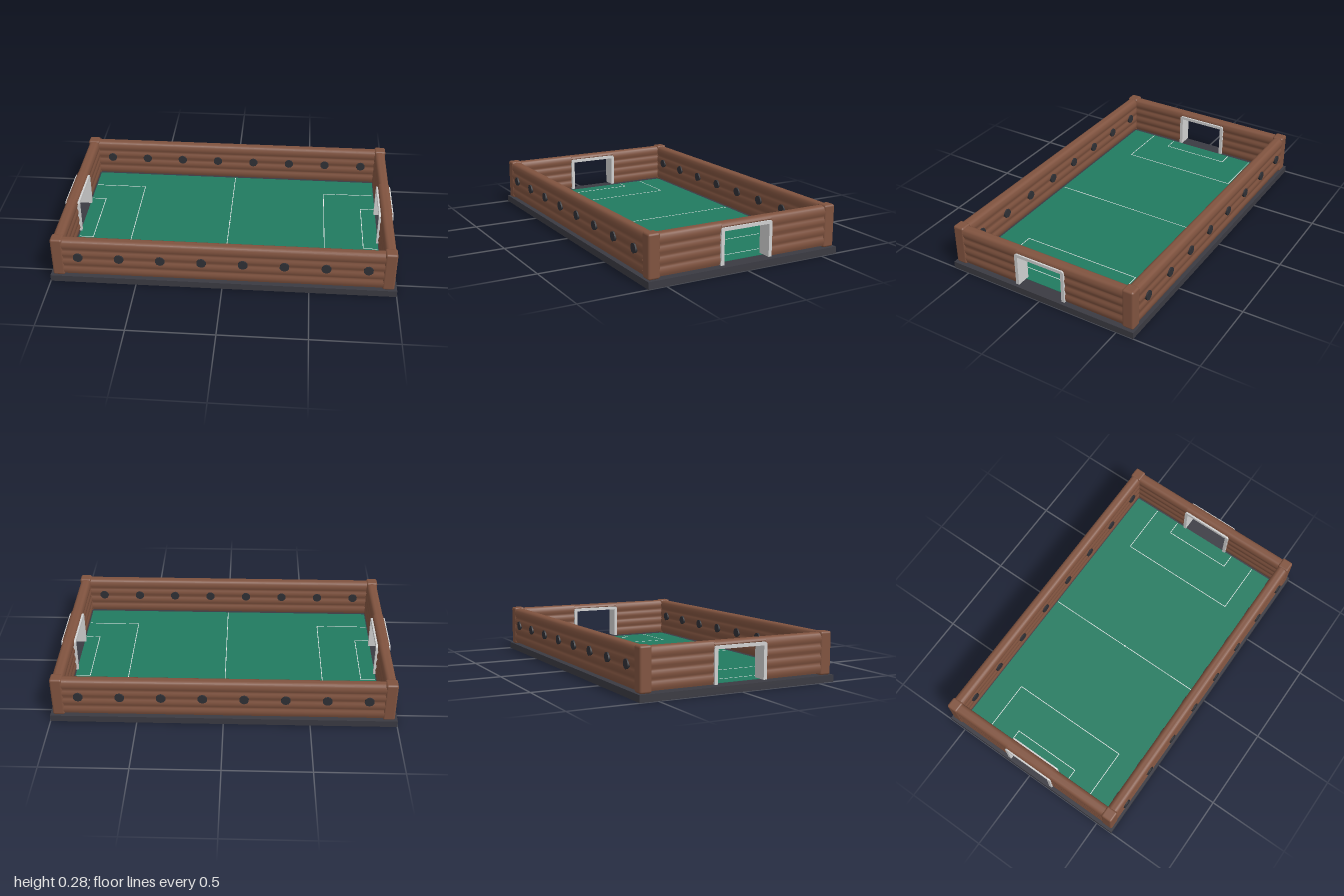
import * as THREE from 'three';
import { toCreasedNormals } from 'three/addons/utils/BufferGeometryUtils.js';
import { RoundedBoxGeometry } from 'three/addons/geometries/RoundedBoxGeometry.js';

const mat = (name, color) => {
  const m = new THREE.MeshStandardMaterial({ color });
  m.name = name;
  return m;
};

export function createModel() {
  const wood = mat('brown wood', 0x80533f);
  const slate = mat('dark slate', 0x3a3a42);
  const green = mat('pitch green', 0x217a60);
  const white = mat('line white', 0xf0f0f0);
  const metal = mat('goal grey', 0xd0d0d0);
  const rubber = mat('knob charcoal', 0x2f3035);

  const model = new THREE.Group();
  model.name = 'tableFootballPitch';
  const add = (name, geometry, material, x = 0, y = 0, z = 0) => {
    const mesh = new THREE.Mesh(geometry, material);
    mesh.name = name;
    mesh.position.set(x, y, z);
    model.add(mesh);
    return mesh;
  };

  // Base slab and playing surface
  add('base', new THREE.BoxGeometry(2, 0.04, 1.21), slate, 0, 0.02, 0);
  add('pitch', new THREE.BoxGeometry(1.83, 0.002, 1.06), green, 0, 0.041, 0);

  // Pitch markings
  const W = 0.004;
  const line = (x, z, lx, lz) =>
    add('pitchLine', new THREE.BoxGeometry(lx, 0.001, lz), white, x, 0.0425, z);
  line(0, 0, W, 1.05);
  add('centreSpot', new THREE.CylinderGeometry(0.005, 0.005, 0.001, 12), white, 0, 0.0428, 0);
  for (const s of [-1, 1]) {
    for (const [x, z] of [[0.59, 0.372], [0.825, 0.212]]) {
      line(s * x, 0, W, z * 2);
      for (const t of [-1, 1]) line(s * (x + 0.91) / 2, t * z, 0.91 - x, W);
    }
  }

  // Wall section with gentle log-like bulges and a rounded top, extruded along its length
  const wall = (length, bottom, top, bulges) => {
    const side = [];
    const steps = bulges * 6;
    for (let i = 0; i <= steps; i++) {
      const t = i / steps;
      side.push(new THREE.Vector2(
        0.027 + 0.007 * Math.abs(Math.sin(Math.PI * bulges * t)),
        bottom + (top - 0.008 - bottom) * t));
    }
    side.push(new THREE.Vector2(0.018, top - 0.002), new THREE.Vector2(0.008, top));
    const mirrored = side.map(p => new THREE.Vector2(-p.x, p.y)).reverse();
    const shape = new THREE.Shape([...side, ...mirrored]);
    const g = new THREE.ExtrudeGeometry(shape, { depth: length, bevelEnabled: false });
    g.translate(0, 0, -length / 2);
    return toCreasedNormals(g, 0.75);
  };

  // Long walls with a row of knobs running through each
  const longWall = wall(1.84, 0.05, 0.28, 4).rotateY(Math.PI / 2);
  const knob = new THREE.CylinderGeometry(0.028, 0.028, 0.084, 10).rotateX(Math.PI / 2);
  for (const s of [-1, 1]) {
    add('longWall', longWall, wood, 0, 0, s * 0.56);
    for (let i = 0; i < 8; i++) add('knob', knob, rubber, -0.828 + i * 0.2366, 0.172, s * 0.56);
  }

  // Goal frame: an arch with rounded outer corners
  const arch = new THREE.Shape();
  arch.moveTo(-0.163, 0.05);
  arch.lineTo(-0.163, 0.24);
  arch.quadraticCurveTo(-0.163, 0.256, -0.147, 0.256);
  arch.lineTo(0.147, 0.256);
  arch.quadraticCurveTo(0.163, 0.256, 0.163, 0.24);
  arch.lineTo(0.163, 0.05);
  arch.lineTo(0.143, 0.05);
  arch.lineTo(0.143, 0.237);
  arch.lineTo(-0.143, 0.237);
  arch.lineTo(-0.143, 0.05);
  const frame = toCreasedNormals(
    new THREE.ExtrudeGeometry(arch, { depth: 0.086, bevelEnabled: false, curveSegments: 5 })
      .translate(0, 0, -0.043).rotateY(Math.PI / 2), 0.6);

  // End walls: two halves, a lintel over the goal, and the goal frame
  const halfWall = wall(0.385, 0.05, 0.28, 4);
  const lintel = wall(0.32, 0.25, 0.28, 1);
  for (const s of [-1, 1]) {
    for (const t of [-1, 1]) add('endWall', halfWall, wood, s * 0.948, 0, t * 0.345);
    add('goalLintel', lintel, wood, s * 0.948, 0, 0);
    add('goalFrame', frame, metal, s * 0.947, 0, 0);
  }

  // Corner posts
  const post = new RoundedBoxGeometry(0.07, 0.246, 0.07, 2, 0.012);
  for (const s of [-1, 1]) {
    for (const t of [-1, 1]) add('cornerPost', post, wood, s * 0.949, 0.162, t * 0.56);
  }

  return model;
}
